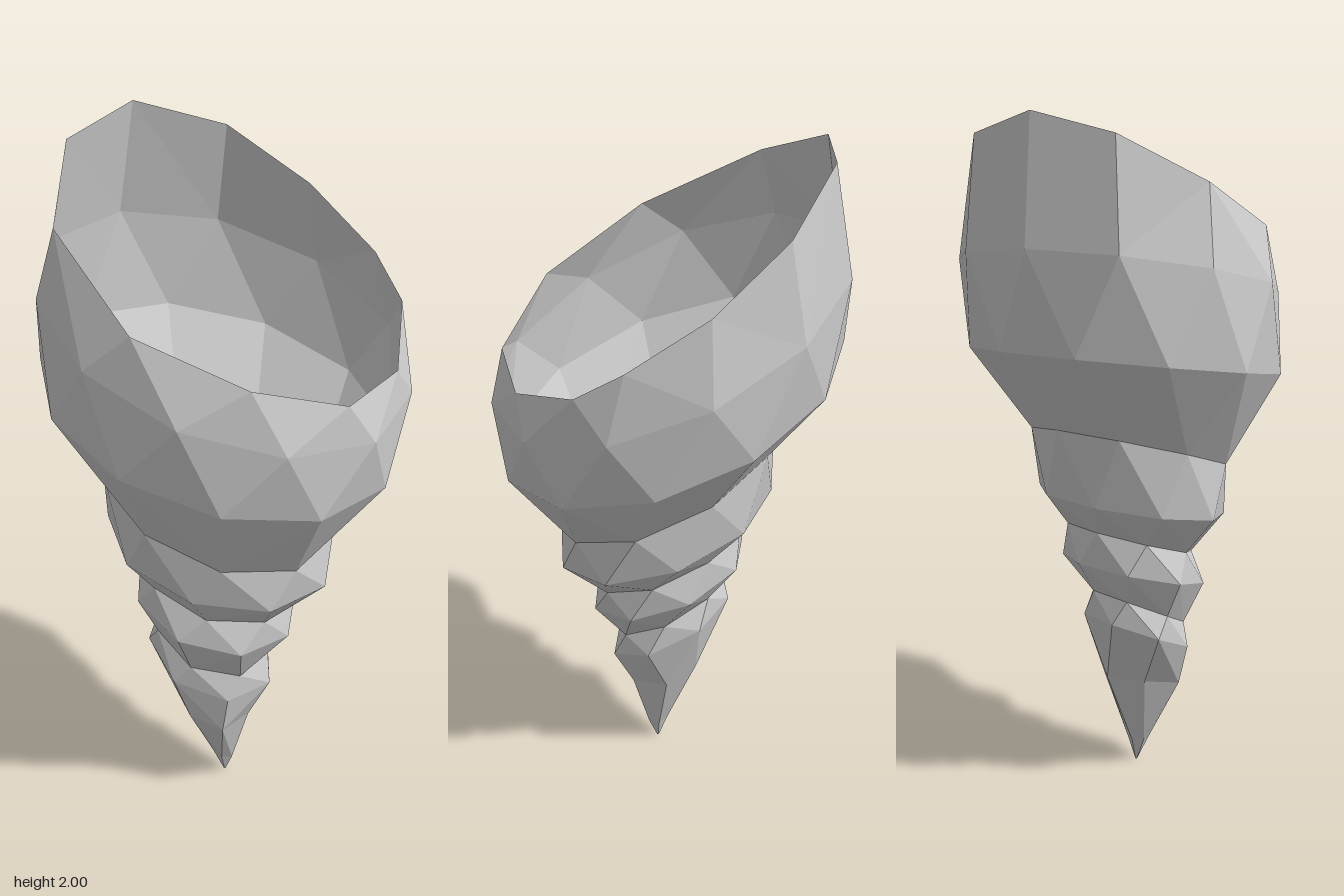
import * as THREE from 'three';

const TAU = Math.PI * 2;

// One tilted elliptical ring; each point keeps its angle for stitching.
// drop: how far the ring falls toward +x and toward +z.
function ring({ n, phase, c, rx, rz, drop }) {
  const points = [];
  for (let i = 0; i < n; i++) {
    const a = ((i + phase) / n) * TAU;
    const ca = Math.cos(a), sa = Math.sin(a);
    points.push({
      a,
      p: [c[0] + rx * ca, c[1] - drop[0] * ca - drop[1] * sa, c[2] + rz * sa],
    });
  }
  return points;
}

// Joins two rings with any number of sides, always advancing the nearer corner.
function stitch(lower, upper, out) {
  const at = (r, k) => r[k % r.length].a + (k >= r.length ? TAU : 0);
  let i = 0, j = 0;
  while (i < lower.length || j < upper.length) {
    const l = lower[i % lower.length].p, u = upper[j % upper.length].p;
    const stepLower = j >= upper.length ||
      (i < lower.length && at(lower, i + 1) < at(upper, j + 1));
    const next = stepLower ? lower[++i % lower.length].p : upper[++j % upper.length].p;
    out.push(...l, ...u, ...next);
  }
}

function band(name, rings, material) {
  const positions = [];
  for (let k = 0; k + 1 < rings.length; k++) stitch(rings[k], rings[k + 1], positions);
  const geometry = new THREE.BufferGeometry();
  geometry.setAttribute('position', new THREE.Float32BufferAttribute(positions, 3));
  geometry.computeVertexNormals();
  const mesh = new THREE.Mesh(geometry, material);
  mesh.name = name;
  return mesh;
}

export function createModel() {
  const group = new THREE.Group();
  group.name = 'spiralShell';
  const material = new THREE.MeshStandardMaterial({
    color: 0xcccccc, flatShading: true, side: THREE.DoubleSide,
  });

  // Rings from the tip upward: sides, phase, centre, radii, drop
  const R = (n, phase, cx, cy, cz, rx, rz, dx, dz) =>
    ring({ n, phase, c: [cx, cy, cz], rx, rz, drop: [dx, dz] });
  const tip = R(5, 0.2, 0.01, 0.003, 0.055, 0.003, 0.003, 0, 0);
  const nearTip = R(5, 0.2, 0.005, 0.07, 0.06, 0.03, 0.03, 0.01, 0);
  const spire = R(6, 0.1, -0.015, 0.27, 0.065, 0.1, 0.12, 0.03, 0.02);
  const whorl4 = R(7, 0.3, -0.03, 0.43, 0.045, 0.185, 0.15, 0.05, 0.06);
  const seam3 = R(7, 0.0, -0.03, 0.505, 0.045, 0.165, 0.135, 0.05, 0.06);
  const whorl3 = R(8, 0.4, -0.02, 0.615, 0.038, 0.235, 0.2, 0.05, 0.05);
  const seam2 = R(8, 0.0, -0.015, 0.71, 0.03, 0.225, 0.18, 0.055, 0.055);
  const whorl2 = R(9, 0.4, -0.005, 0.815, 0.035, 0.325, 0.265, 0.06, 0.05);
  const seam1 = R(9, 0.0, -0.012, 0.98, 0.03, 0.328, 0.275, 0.1, 0.075);
  const bodyLow = R(11, 0.45, -0.015, 1.235, 0.015, 0.5, 0.43, 0.12, 0.06);
  const bodyHigh = R(11, 0.9, 0, 1.48, 0, 0.515, 0.447, 0.16, 0.08);

  // Slanted, slightly uneven lip of the opening
  const lip = [
    [0.48, 1.43, 0.05], [0.38, 1.43, 0.26], [0.14, 1.52, 0.385], [-0.18, 1.64, 0.37],
    [-0.43, 1.82, 0.15], [-0.45, 1.96, -0.1], [-0.31, 2.0, -0.295], [-0.07, 1.9, -0.405],
    [0.17, 1.75, -0.385], [0.37, 1.61, -0.28], [0.46, 1.52, -0.18],
  ].map((p) => ({ a: (Math.atan2(p[2] / 0.41, p[0] / 0.48) + TAU) % TAU, p }));

  group.add(
    band('spireTip', [tip, nearTip, spire, whorl4, seam3], material),
    band('thirdWhorl', [seam3, whorl3, seam2], material),
    band('secondWhorl', [seam2, whorl2, seam1], material),
    band('bodyWhorl', [seam1, bodyLow, bodyHigh, lip], material),
  );
  return group;
}
